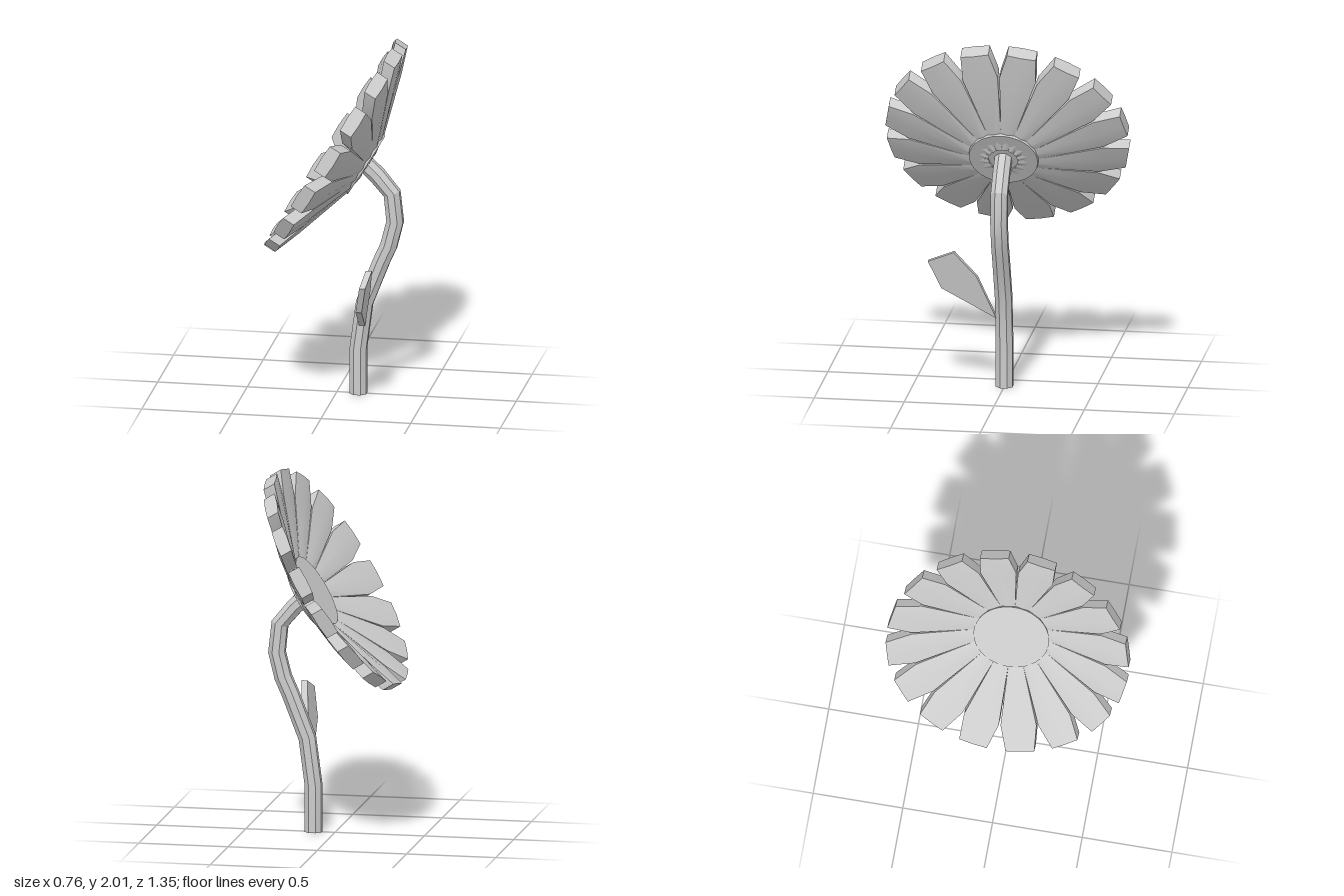
import * as THREE from 'three';
import { toCreasedNormals } from 'three/addons/utils/BufferGeometryUtils.js';

// Skin a list of equal-length rings (counter-clockwise about the loft direction) and cap both ends
function loft(rings) {
  const n = rings[0].length;
  const index = [];
  for (let i = 0; i < rings.length - 1; i++) {
    for (let j = 0; j < n; j++) {
      const k = (j + 1) % n;
      const a = i * n + j, b = i * n + k, c = (i + 1) * n + k, d = (i + 1) * n + j;
      index.push(a, b, c, a, c, d);
    }
  }
  const end = (rings.length - 1) * n;
  for (let j = 1; j < n - 1; j++) {
    index.push(0, j + 1, j, end, end + j, end + j + 1);
  }
  const geometry = new THREE.BufferGeometry();
  geometry.setAttribute('position', new THREE.Float32BufferAttribute(rings.flat(2), 3));
  geometry.setIndex(index);
  return toCreasedNormals(geometry, 0.4);
}

// Octagonal stem following a bent path in the x-y plane
function stemGeometry() {
  const path = [
    [0.12, 0], [0.12, 0.26], [0.155, 0.525], [0.25, 0.77], [0.29, 0.86],
    [0.325, 1.0], [0.308, 1.16], [0.225, 1.26], [0.145, 1.335],
  ];
  const radius = 0.05;
  return loft(path.map(([x, y], i) => {
    const p = path[Math.max(i - 1, 0)], q = path[Math.min(i + 1, path.length - 1)];
    const length = Math.hypot(q[0] - p[0], q[1] - p[1]);
    const sx = (q[1] - p[1]) / length, sy = -(q[0] - p[0]) / length;
    return Array.from({ length: 8 }, (_, j) => {
      const a = (j + 0.5) * Math.PI / 4;
      const s = Math.sin(a) * radius;
      return [x + sx * s, y + sy * s, Math.cos(a) * radius];
    });
  }));
}

// Petal pointing along +x: thin at the root, broad shoulder, blunt thick tip
function petalGeometry() {
  // radius, half width, back height, front height, bulge
  const sections = [
    [0.08, 0.015, -0.035, -0.005, 0.004],
    [0.2, 0.04, -0.012, 0.028, 0.008],
    [0.53, 0.1, 0.09, 0.155, 0.01],
    [0.67, 0.08, 0.135, 0.205, 0.004],
  ];
  return loft(sections.map(([r, w, back, front, bulge]) => [
    [r, front + bulge, 0], [r, front, w], [r, back, w],
    [r, back - bulge, 0], [r, back, -w], [r, front, -w],
  ]));
}

// Flat five-sided leaf, leaning with the stem
function leafGeometry() {
  const outline = [[0.4, 0.04], [0.645, 0.14], [0.79, 0.265], [0.73, 0.41], [0.57, 0.34]];
  return loft([-0.017, 0.017].map((dx) =>
    outline.map(([y, z]) => [0.147 + (y - 0.4) * 0.2 + dx, y, z])));
}

export function createModel() {
  const model = new THREE.Group();
  model.name = 'flower';
  const material = new THREE.MeshStandardMaterial({ color: 0xcccccc });
  const add = (parent, geometry, name) => {
    const mesh = new THREE.Mesh(geometry, material);
    mesh.name = name;
    parent.add(mesh);
    return mesh;
  };

  add(model, stemGeometry(), 'stem');
  add(model, leafGeometry(), 'leaf');

  // Tilted head: its local y axis is the direction the bloom faces
  const head = new THREE.Group();
  head.name = 'head';
  head.position.set(0.14, 1.33, 0);
  head.rotation.z = 1.024;
  model.add(head);

  const disc = add(head, toCreasedNormals(new THREE.CylinderGeometry(0.21, 0.19, 0.075, 40), 0.5), 'disc');
  disc.position.y = 0.008;

  const petal = petalGeometry();
  const count = 16;
  for (let i = 0; i < count; i++) {
    add(head, petal, 'petal').rotation.y = (i + 0.5) * 2 * Math.PI / count;
  }
  return model;
}
